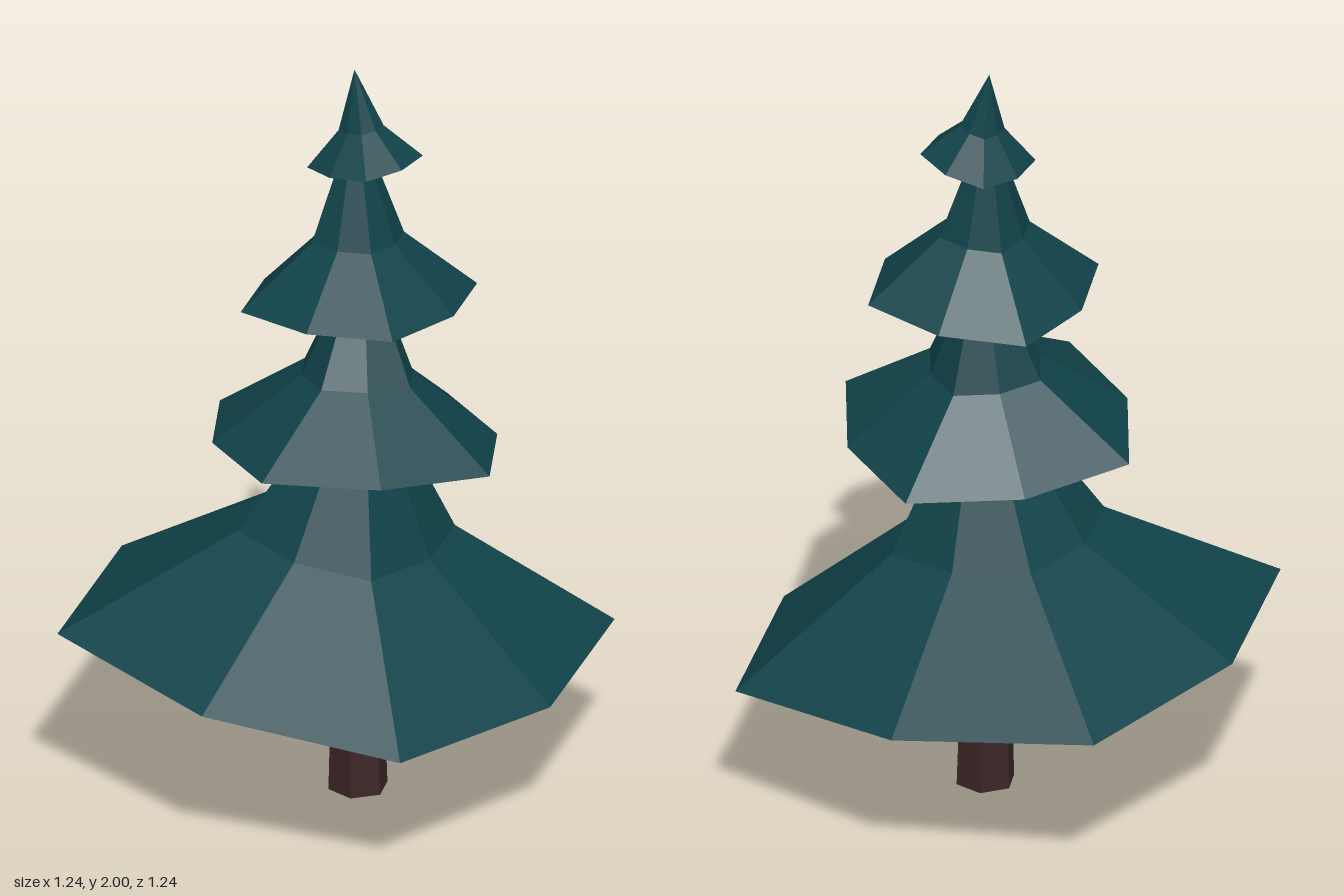
import * as THREE from 'three';

const SIDES = 8;
const KINK = 0.39; // radius of the middle ring relative to the rim

// Hollow two-slope cone, leaning so that its rim plane rises by (slopeX, slopeZ)
function makeTier({ center, radii, angle, slope, kinkHeight, height }) {
  const [cx, cy, cz] = center;
  const [sx, sz] = slope;
  const positions = [];
  const index = [];
  const addRing = (scale, h) => {
    for (let i = 0; i < SIDES; i++) {
      const a = THREE.MathUtils.degToRad(angle) + (i * Math.PI * 2) / SIDES;
      const r = radii[i % 2] * scale;
      const x = r * Math.cos(a);
      const z = r * Math.sin(a);
      positions.push(cx + x - sx * h, cy + h + sx * x + sz * z, cz + z - sz * h);
    }
  };
  addRing(1, 0);
  addRing(KINK, kinkHeight);
  positions.push(cx - sx * height, cy + height, cz - sz * height);

  const apex = SIDES * 2;
  for (let i = 0; i < SIDES; i++) {
    const j = (i + 1) % SIDES;
    index.push(i, SIDES + i, j, j, SIDES + i, SIDES + j); // skirt
    index.push(SIDES + i, apex, SIDES + j); // upper cone
  }
  const geometry = new THREE.BufferGeometry();
  geometry.setAttribute('position', new THREE.Float32BufferAttribute(positions, 3));
  geometry.setIndex(index);
  const flat = geometry.toNonIndexed();
  flat.computeVertexNormals();
  return flat;
}

export function createModel() {
  const group = new THREE.Group();
  group.name = 'pineTree';

  const needles = new THREE.MeshStandardMaterial({
    name: 'darkTealNeedles', color: 0x10434a, flatShading: true, side: THREE.DoubleSide,
  });
  const bark = new THREE.MeshStandardMaterial({
    name: 'darkBrownBark', color: 0x3c2626, flatShading: true,
  });

  // Six-sided tapering trunk, leaning slightly towards the tip
  const trunkHeight = 1.88;
  const trunkGeometry = new THREE.CylinderGeometry(0.017, 0.077, trunkHeight, 6, 1, false, Math.PI / 2);
  trunkGeometry.translate(0, trunkHeight / 2, 0);
  const p = trunkGeometry.attributes.position;
  for (let i = 0; i < p.count; i++) p.setX(i, p.getX(i) + 0.057 - 0.006 * p.getY(i));
  trunkGeometry.translate(0, 0, -0.02);
  const trunk = new THREE.Mesh(trunkGeometry, bark);
  trunk.name = 'trunk';
  group.add(trunk);

  // Foliage tiers from bottom to top
  const tiers = [
    { name: 'bottomFoliage', center: [0, 0.4325, 0], radii: [0.633, 0.716], angle: -12,
      slope: [-0.083, 0.046], kinkHeight: 0.28, height: 0.76 },
    { name: 'lowerMiddleFoliage', center: [0.075, 0.99, 0.01], radii: [0.41, 0.363], angle: -9.5,
      slope: [0.042, 0.1], kinkHeight: 0.175, height: 0.53 },
    { name: 'upperMiddleFoliage', center: [0.08, 1.383, 0], radii: [0.271, 0.308], angle: -15,
      slope: [0.065, 0.045], kinkHeight: 0.163, height: 0.5 },
    { name: 'topFoliage', center: [0.077, 1.755, -0.025], radii: [0.128, 0.145], angle: 0,
      slope: [0.15, 0], kinkHeight: 0.09, height: 0.245 },
  ];
  for (const tier of tiers) {
    const mesh = new THREE.Mesh(makeTier(tier), needles);
    mesh.name = tier.name;
    group.add(mesh);
  }
  return group;
}
